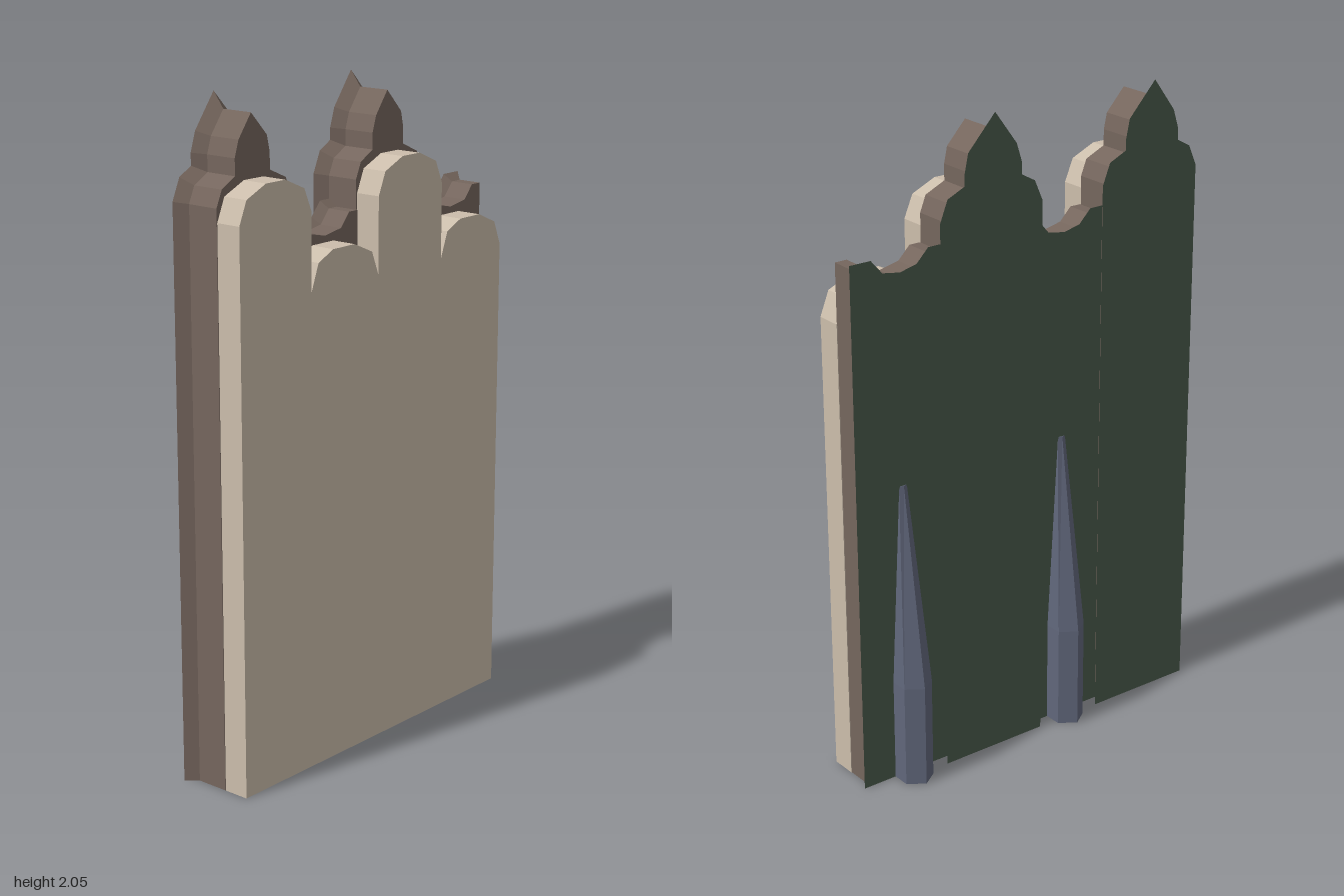
import * as THREE from 'three';

const mat = (name, color) => {
  const m = new THREE.MeshStandardMaterial({ color, side: THREE.DoubleSide });
  m.name = name;
  return m;
};

// Outlines as [z, y], running from low z over the top to high z
const TALL = [[-0.155, 0], [-0.155, 1.75], [-0.135, 1.8], [-0.068, 1.83], [-0.068, 1.88], [-0.057, 1.93],
  [0.008, 2], [0.06, 1.93], [0.076, 1.88], [0.076, 1.83], [0.13, 1.8], [0.152, 1.75], [0.152, 0]];
const SHORT = [[-0.147, 0], [-0.147, 1.66], [-0.107, 1.66], [-0.07, 1.617], [0.002, 1.605],
  [0.07, 1.62], [0.11, 1.66], [0.147, 1.66], [0.147, 0]];
const SLAB_TALL = [[-0.15, 1.71], [-0.12, 1.78], [-0.04, 1.815], [0.04, 1.815], [0.12, 1.78], [0.15, 1.71]];
const SLAB_SHORT = [[-0.15, 1.475], [-0.12, 1.55], [-0.04, 1.585], [0.055, 1.585], [0.12, 1.555], [0.15, 1.475]];

// Moves an outline inward by d with mitred corners, keeping the foot on the ground
function inset(pts, d) {
  const normal = (a, b) => {
    const dz = b[0] - a[0], dy = b[1] - a[1], l = Math.hypot(dz, dy);
    return [dy / l, -dz / l];
  };
  return pts.map((p, i) => {
    const n1 = normal(pts[Math.max(i - 1, 0)], pts[Math.max(i, 1)]);
    const last = pts.length - 1;
    const n2 = normal(pts[Math.min(i, last - 1)], pts[Math.min(i + 1, last)]);
    const k = d / (1 + n1[0] * n2[0] + n1[1] * n2[1]);
    return [p[0] + (n1[0] + n2[0]) * k, p[1] + (n1[1] + n2[1]) * k];
  });
}

function flatGeometry(positions) {
  const g = new THREE.BufferGeometry();
  g.setAttribute('position', new THREE.Float32BufferAttribute(positions, 3));
  g.computeVertexNormals();
  return g;
}

// Flat face of an outline at a given x
function cap(pts, x, facingFront) {
  const contour = pts.map(([z, y]) => new THREE.Vector2(-z, y));
  const out = [];
  for (const t of THREE.ShapeUtils.triangulateShape(contour, [])) {
    for (const i of facingFront ? t : [...t].reverse()) out.push(x, pts[i][1], pts[i][0]);
  }
  return out;
}

// Strip of walls between two outlines, open along the ground
function walls(front, xf, back, xb) {
  const out = [];
  for (let i = 0; i < front.length - 1; i++) {
    const a = [xf, front[i][1], front[i][0]], b = [xb, back[i][1], back[i][0]];
    const c = [xb, back[i + 1][1], back[i + 1][0]], d = [xf, front[i + 1][1], front[i + 1][0]];
    out.push(...a, ...b, ...c, ...a, ...c, ...d);
  }
  return out;
}

function addMesh(parent, name, geometry, material) {
  const m = new THREE.Mesh(geometry, material);
  m.name = name;
  parent.add(m);
  return m;
}

// Chamfered plank with a coloured rear face
function plank(name, pts, xFront, xEdge, xBack, bevel, frame, rear) {
  const g = new THREE.Group();
  g.name = name;
  const inner = inset(pts, -bevel);
  addMesh(g, name + 'Frame', flatGeometry([
    ...cap(pts, xFront, true), ...walls(pts, xFront, pts, xEdge), ...walls(pts, xEdge, inner, xBack),
  ]), frame);
  addMesh(g, name + 'RearFace', flatGeometry(cap(inner, xBack, false)), rear);
  return g;
}

// Tapered buttress built from three stacked five-sided sections
function buttressGeometry() {
  const section = (y, w, xSide, xRidge) =>
    [[-0.045, y, -w], [xSide, y, -w], [xRidge, y, 0], [xSide, y, w], [-0.045, y, w]];
  const rings = [section(0, 0.051, -0.105, -0.14), section(0.33, 0.051, -0.105, -0.14),
    section(0.97, 0.014, -0.047, -0.052)];
  const out = [];
  for (let r = 0; r < 2; r++) {
    for (let i = 0; i < 4; i++) {
      const a = rings[r][i], b = rings[r][i + 1], c = rings[r + 1][i + 1], d = rings[r + 1][i];
      out.push(...a, ...b, ...c, ...a, ...c, ...d);
    }
  }
  const top = rings[2];
  for (let i = 1; i < 4; i++) out.push(...top[0], ...top[i], ...top[i + 1]);
  return flatGeometry(out);
}

export function createModel() {
  const tan = mat('tan plaster', 0xcbbdab);
  const brown = mat('brown frame', 0x75665d);
  const green = mat('dark green panel', 0x4a5a4b);
  const blue = mat('slate blue', 0x60667a);
  const model = new THREE.Group();
  model.name = 'panelWall';

  // Scalloped facing slab
  const shift = (pts, c) => pts.map(([z, y]) => [z + c, y]);
  const slab = [[-0.6, 0], ...shift(SLAB_SHORT, -0.45), ...shift(SLAB_TALL, -0.15),
    ...shift(SLAB_SHORT, 0.15), ...shift(SLAB_TALL, 0.45), [0.6, 0]];
  addMesh(model, 'facingSlab', flatGeometry([
    ...cap(slab, 0.138, true), ...walls(slab, 0.138, slab, 0.055), ...cap(slab, 0.055, false),
  ]), tan);

  // Alternating planks, with a buttress behind each short one
  const buttress = buttressGeometry();
  for (const z of [0.448, -0.149]) {
    const tall = plank('tallPlank', TALL, 0.053, -0.052, -0.086, 0.031, brown, green);
    tall.position.z = z;
    const short = plank('shortPlank', SHORT, 0.057, -0.022, -0.048, 0.022, brown, green);
    short.position.z = z - 0.302;
    model.add(tall, short);
    addMesh(model, 'buttress', buttress, blue).position.z = z - 0.305;
  }
  return model;
}
